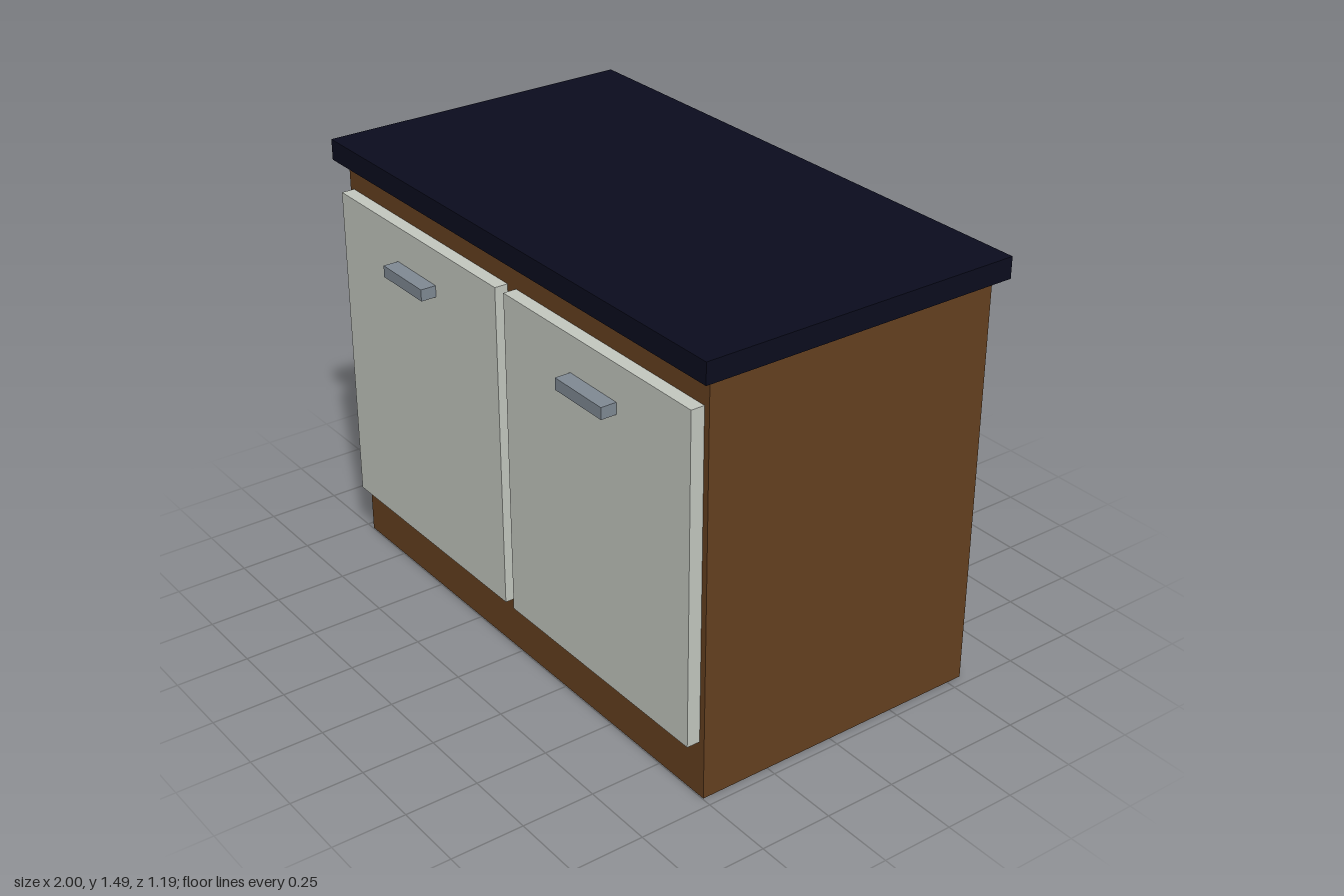
import * as THREE from 'three';

const paint = (name, color) => {
  const m = new THREE.MeshStandardMaterial({ color });
  m.name = name;
  return m;
};

// Box given by its extents on each axis
function slab(name, material, [x0, x1], [y0, y1], [z0, z1]) {
  const mesh = new THREE.Mesh(new THREE.BoxGeometry(x1 - x0, y1 - y0, z1 - z0), material);
  mesh.position.set((x0 + x1) / 2, (y0 + y1) / 2, (z0 + z1) / 2);
  mesh.name = name;
  return mesh;
}

export function createModel() {
  const wood = paint('brown wood', 0x654020);
  const stone = paint('dark navy worktop', 0x0b0c1e);
  const panel = paint('pale grey door', 0xc4c8c0);
  const metal = paint('grey metal', 0x808a94);

  const model = new THREE.Group();
  model.name = 'baseCabinet';

  // Carcass and overhanging worktop
  model.add(slab('carcass', wood, [-0.965, 0.965], [0, 1.42], [-0.555, 0.497]));
  model.add(slab('worktop', stone, [-1, 1], [1.42, 1.492], [-0.595, 0.538]));

  // Mirrored pair of doors, each with a bar handle
  for (const [side, s] of [['left', 1], ['right', -1]]) {
    const span = (a, b) => (s > 0 ? [a, b] : [-b, -a]);
    const door = new THREE.Group();
    door.name = `${side}Door`;
    door.add(slab(`${side}DoorPanel`, panel, span(0.023, 0.943), [0.196, 1.324], [0.497, 0.543]));
    door.add(slab(`${side}Handle`, metal, span(0.37, 0.598), [1.16, 1.2], [0.543, 0.597]));
    model.add(door);
  }
  return model;
}
